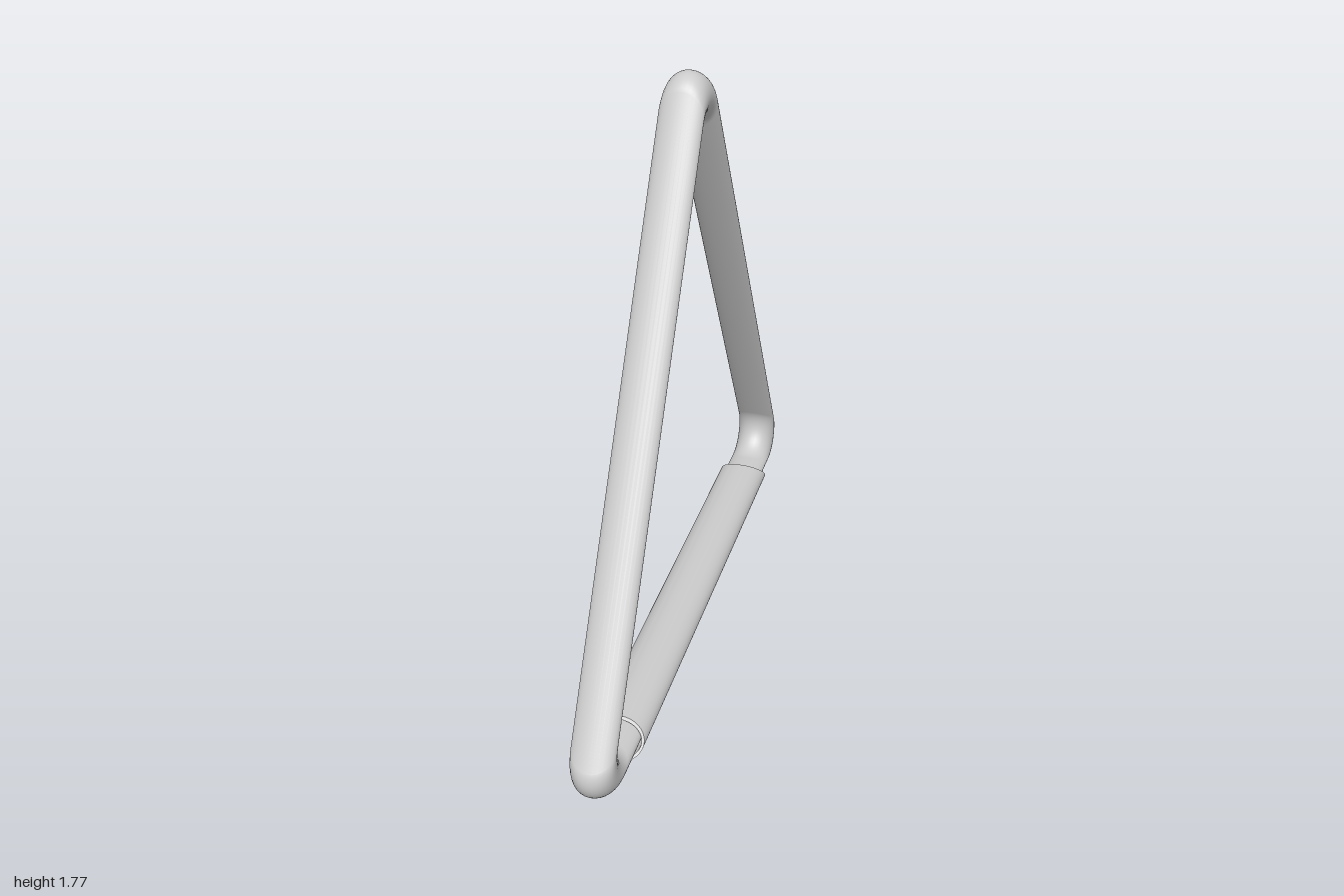
import * as THREE from 'three';
import { toCreasedNormals } from 'three/addons/utils/BufferGeometryUtils.js';

// Skin closed rings of points, joining the last ring to the first
function skinLoop(rings) {
  const n = rings.length, m = rings[0].length, index = [];
  for (let i = 0; i < n; i++) {
    for (let j = 0; j < m; j++) {
      const i2 = (i + 1) % n, j2 = (j + 1) % m;
      const a = i * m + j, b = i2 * m + j, c = i2 * m + j2, d = i * m + j2;
      index.push(a, b, d, b, c, d);
    }
  }
  const geometry = new THREE.BufferGeometry();
  geometry.setAttribute('position', new THREE.Float32BufferAttribute(rings.flat(2), 3));
  geometry.setIndex(index);
  geometry.computeVertexNormals();
  return geometry;
}

// Oval bar bent into a triangle; outer and inner corners have their own radii
function frameGeometry() {
  const centreY = 0.63, halfWidth = 0.065, sides = 32, steps = 16;
  const outer = { inradius: 0.61, radius: 0.077 };
  const inner = { inradius: 0.55, radius: 0.096 };
  const edgePoint = (edge, corner, angle) => {
    const reach = 2 * (edge.inradius - edge.radius);
    return [
      centreY + reach * Math.cos(corner) + edge.radius * Math.cos(angle),
      reach * Math.sin(corner) + edge.radius * Math.sin(angle),
    ];
  };
  const rings = [];
  for (let k = 0; k < 3; k++) {
    const corner = k * Math.PI * 2 / 3;
    for (let s = 0; s <= steps; s++) {
      const angle = corner + (s / steps - 0.5) * Math.PI * 2 / 3;
      const [yo, zo] = edgePoint(outer, corner, angle);
      const [yi, zi] = edgePoint(inner, corner, angle);
      const ring = [];
      for (let j = 0; j < sides; j++) {
        const t = j / sides * Math.PI * 2, f = (1 + Math.cos(t)) / 2;
        ring.push([halfWidth * Math.sin(t), yi + (yo - yi) * f, zi + (zo - zi) * f]);
      }
      rings.push(ring);
    }
  }
  return skinLoop(rings);
}

// Thin oval sleeve with slanted ends, longer along the bottom
function sleeveGeometry() {
  const sides = 48, centreY = 0.05, rings = [];
  const profile = [[0, 1], [0, -1], [0.008, -1], [0.008, 1]]; // wall inset, end
  for (let i = 0; i < sides; i++) {
    const t = i / sides * Math.PI * 2;
    rings.push(profile.map(([inset, end]) => {
      const y = (0.05 - inset) * Math.cos(t);
      return [(0.08 - inset) * Math.sin(t), centreY + y, end * (0.742 - 0.8 * y)];
    }));
  }
  return toCreasedNormals(skinLoop(rings), 0.7);
}

export function createModel() {
  const group = new THREE.Group();
  group.name = 'triangularHandle';
  const material = new THREE.MeshStandardMaterial({ color: 0xcccccc });
  const add = (name, geometry) => {
    const mesh = new THREE.Mesh(geometry, material);
    mesh.name = name;
    group.add(mesh);
  };
  add('triangleFrame', frameGeometry());
  add('gripSleeve', sleeveGeometry());
  return group;
}
